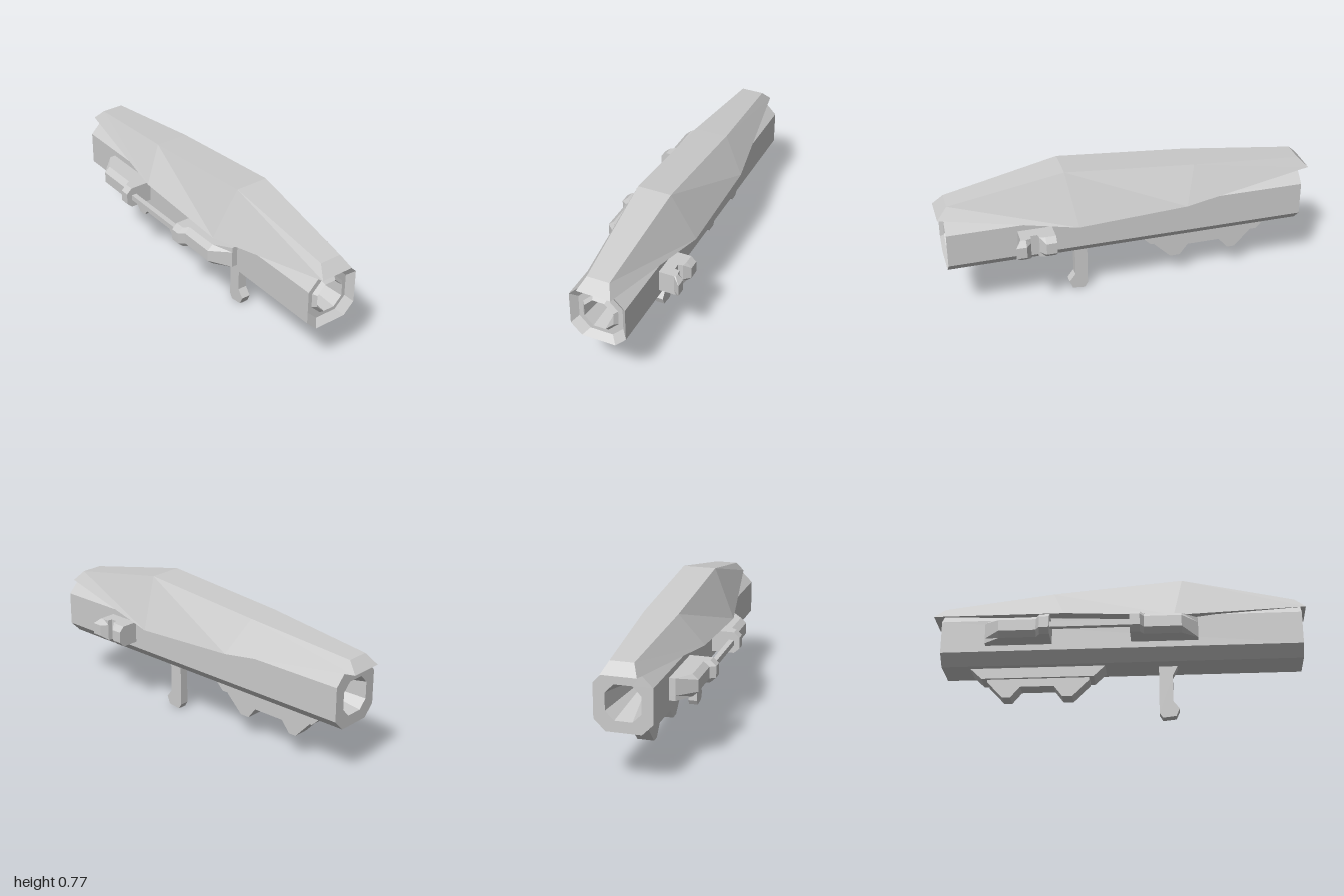
import * as THREE from 'three';

const material = new THREE.MeshStandardMaterial({ color: 0xcccccc, flatShading: true });
const CX = 0.015; // axis of the barrel
const CY = 0.442;

function addPart(group, name, geometry) {
  const mesh = new THREE.Mesh(geometry, material);
  mesh.name = name;
  group.add(mesh);
  return mesh;
}

// Skin between equal-sized rings, counter-clockwise seen from +z, listed front to back.
function loft(rings) {
  const n = rings[0].length;
  const index = [];
  for (let r = 0; r < rings.length - 1; r++) {
    for (let i = 0; i < n; i++) {
      const j = (i + 1) % n;
      const a = r * n + i, b = r * n + j;
      index.push(a, a + n, b, b, a + n, b + n);
    }
  }
  const geometry = new THREE.BufferGeometry();
  geometry.setAttribute('position', new THREE.Float32BufferAttribute(rings.flat(2), 3));
  geometry.setIndex(index);
  const flat = geometry.toNonIndexed();
  flat.computeVertexNormals();
  return flat;
}

// Octagon with half width h and half length c of its straight edges.
function octagon([h, c, z]) {
  return [[h, -c], [h, c], [c, h], [-c, h], [-h, c], [-h, -c], [-c, -h], [c, -h]]
    .map(([x, y]) => [CX + x, CY + y, z]);
}

// Outline of [z, y] points, given a thickness across x.
function sidePlate(points, width) {
  const shape = new THREE.Shape(points.map(([z, y]) => new THREE.Vector2(-z, y)));
  const geometry = new THREE.ExtrudeGeometry(shape, { depth: width, bevelEnabled: false });
  return geometry.rotateY(Math.PI / 2).translate(CX - width / 2, 0, 0);
}

// Outline of [x, z] points, given height; "inset" moves the top and bottom outline to form chamfers.
function chamferedBlock(points, inset) {
  const shape = new THREE.Shape(points.map(([x, z]) => new THREE.Vector2(x, z)));
  const geometry = new THREE.ExtrudeGeometry(shape, { depth: 3, steps: 3, bevelEnabled: false });
  geometry.rotateX(Math.PI / 2);
  const heights = [0.5, 0.473, 0.412, 0.385];
  const p = geometry.attributes.position;
  for (let i = 0; i < p.count; i++) {
    const layer = Math.round(-p.getY(i));
    let x = p.getX(i), z = p.getZ(i);
    if (layer === 0 || layer === 3) [x, z] = inset(x, z);
    p.setXYZ(i, x, heights[layer], z);
  }
  geometry.computeVertexNormals();
  return geometry;
}

export function createModel() {
  const group = new THREE.Group();

  // Barrel with a recessed muzzle ring and a tapering bore at both ends
  addPart(group, 'barrel', loft([
    [0, 0, 0.3],
    [0.078, 0.032, 0.955],
    [0.094, 0.039, 0.935],
    [0.118, 0.06, 0.935],
    [0.1485, 0.09, 0.97],
    [0.1485, 0.09, -0.94],
    [0.09, 0.045, -0.94],
    [0, 0, -0.5],
  ].map(octagon)));

  // Upper shroud: each station gives half width, height and z of the lower edge, then of the top edge
  const stations = [
    [0.09, 0.592, 1, 0.09, 0.592, 1],
    [0.09, 0.592, 1, 0.06, 0.65, 0.945],
    [0.208, 0.505, 0.3, 0.09, 0.77, 0.345],
    [0.208, 0.535, -0.28, 0.09, 0.71, -0.35],
    [0.09, 0.595, -1, 0.06, 0.65, -0.945],
    [0.09, 0.595, -1, 0.09, 0.595, -1],
  ];
  addPart(group, 'shroud', loft(stations.map(([ex, ey, ez, tx, ty, tz]) => [
    [CX + ex, ey, ez], [CX + tx, ty, tz], [CX - tx, ty, tz], [CX - ex, ey, ez],
  ])));

  // Hand grip
  addPart(group, 'grip', sidePlate([
    [0.315, 0.3], [0.285, 0.24], [0.285, 0.095], [0.318, 0.052],
    [0.3, 0.01], [0.23, 0.002], [0.213, 0.03], [0.213, 0.3],
  ], 0.05));

  // Rail below the barrel and the two-footed shoulder rest under it
  addPart(group, 'lowerRail', sidePlate(
    [[-0.063, 0.3], [-0.13, 0.235], [-0.73, 0.235], [-0.797, 0.3]], 0.118));
  addPart(group, 'shoulderRest', sidePlate([
    [-0.155, 0.24], [-0.155, 0.22], [-0.247, 0.13], [-0.3, 0.13], [-0.345, 0.19],
    [-0.525, 0.19], [-0.575, 0.13], [-0.617, 0.13], [-0.7, 0.22], [-0.7, 0.24],
  ], 0.088));

  // Notched aiming block on the left side
  addPart(group, 'aimingBlock', chamferedBlock([
    [0.13, 0.61], [0.245, 0.61], [0.283, 0.64], [0.283, 0.585], [0.25, 0.558],
    [0.225, 0.555], [0.225, 0.52], [0.25, 0.515], [0.283, 0.485], [0.283, 0.43], [0.13, 0.43],
  ], (x, z) => [Math.min(x, 0.255), Math.min(z, 0.61)]));

  // Two mirrored sight housings on the right side, joined by a thin rod
  const housing = [
    [-0.12, 0.073], [-0.285, 0.073], [-0.285, 0.125], [-0.255, 0.145],
    [-0.255, 0.34], [-0.165, 0.425], [-0.12, 0.425],
  ];
  const inset = (x, z) => [x < -0.2 ? x + 0.03 : x, z];
  addPart(group, 'frontSightHousing', chamferedBlock(housing, inset));
  addPart(group, 'rearSightHousing',
    chamferedBlock(housing.map(([x, z]) => [x, -0.275 - z]), inset));
  const rod = addPart(group, 'sightRod', new THREE.BoxGeometry(0.028, 0.03, 0.45));
  rod.position.set(-0.24, CY, -0.1375);

  return group;
}
